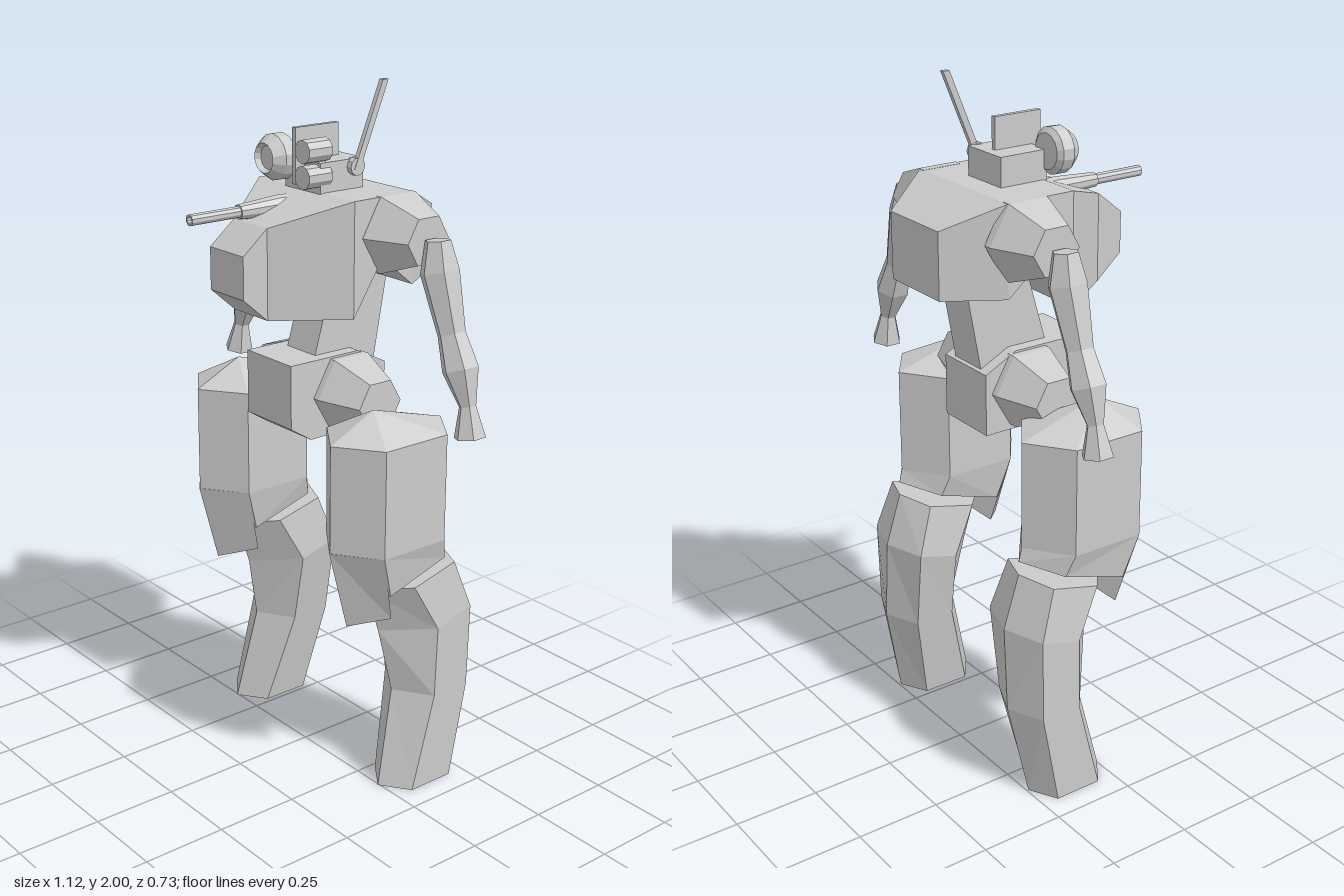
import * as THREE from 'three';

const material = new THREE.MeshStandardMaterial({ color: 0xcccccc, flatShading: true });

function part(name, geometry, x = 0, y = 0, z = 0) {
  const mesh = new THREE.Mesh(geometry, material);
  mesh.name = name;
  mesh.position.set(x, y, z);
  return mesh;
}

// Closed faceted solid through rings of [x, y, z] points; side = -1 mirrors it in x
function loft(rings, side = 1) {
  const R = rings.map(r => r.map(p => new THREE.Vector3(p[0] * side, p[1], p[2])));
  const n = R[0].length, last = R.length - 1, tris = [];
  const add = (a, b, c) => {
    const area = b.clone().sub(a).cross(c.clone().sub(a)).length();
    if (area > 1e-9) tris.push([a, b, c]);
  };
  for (let i = 0; i < last; i++) {
    for (let j = 0; j < n; j++) {
      const k = (j + 1) % n;
      add(R[i][j], R[i][k], R[i + 1][k]);
      add(R[i][j], R[i + 1][k], R[i + 1][j]);
    }
  }
  for (let j = 1; j < n - 1; j++) {
    add(R[0][0], R[0][j + 1], R[0][j]);
    add(R[last][0], R[last][j], R[last][j + 1]);
  }
  // The signed volume tells whether the faces point outwards
  const origin = R[0][0];
  const volume = tris.reduce((v, [a, b, c]) => v + a.clone().sub(origin)
    .dot(b.clone().sub(origin).cross(c.clone().sub(origin))), 0);
  const points = tris.flatMap(([a, b, c]) => (volume < 0 ? [a, c, b] : [a, b, c]));
  const geometry = new THREE.BufferGeometry().setFromPoints(points);
  geometry.computeVertexNormals();
  return geometry;
}

// Six-sided leg section: centre x, half width, then [z, y] of front, side front, side back, back
const legRing = (cx, w, [f, sf, sb, b]) => [
  [cx, f[1], f[0]], [cx + w, sf[1], sf[0]], [cx + w, sb[1], sb[0]],
  [cx, b[1], b[0]], [cx - w, sb[1], sb[0]], [cx - w, sf[1], sf[0]],
];
const level = (y, zs) => zs.map(z => [z, y]);

// Hexagon about the x axis, corners pointing to front and back
const hexX = (x, y, z, r) => Array.from({ length: 6 }, (_, i) => {
  const a = i * Math.PI / 3;
  return [x, y + r * Math.sin(a), z + r * Math.cos(a)];
});

// Hexagonal arm sections square to a path of [x, y, radius]
function armRings(path, z) {
  return path.map(([x, y, r], i) => {
    const p = path[Math.max(i - 1, 0)], q = path[Math.min(i + 1, path.length - 1)];
    const len = Math.hypot(q[0] - p[0], q[1] - p[1]);
    const ux = -(q[1] - p[1]) / len, uy = (q[0] - p[0]) / len;
    return Array.from({ length: 6 }, (_, k) => {
      const a = k * Math.PI / 3, s = r * Math.sin(a);
      return [x + ux * s, y + uy * s, z + r * Math.cos(a)];
    });
  });
}

// Lathe of [radius, z] points turned about the z axis
function turnedZ(points, sides) {
  const g = new THREE.LatheGeometry(points.map(([r, z]) => new THREE.Vector2(r, z)), sides);
  return g.rotateX(Math.PI / 2);
}

function createBody() {
  const body = new THREE.Group();
  body.name = 'body';
  // Torso sections from back to front: z, half width, top, bottom
  const torso = [
    [-0.365, 0.115, 1.64, 1.45], [-0.21, 0.21, 1.71, 1.45], [-0.1, 0.21, 1.71, 1.54],
    [0, 0.21, 1.71, 1.385], [0.19, 0.075, 1.64, 1.385], [0.27, 0.075, 1.575, 1.455],
  ].map(([z, w, t, b]) => [[-w, b, z], [w, b, z], [w, t, z], [-w, t, z]]);
  body.add(part('torso', loft(torso)));

  // Leaning waist column
  const waist = [[1.2, 0.03, -0.2], [1.58, -0.08, -0.27]].map(([y, f, b]) =>
    [[-0.0625, y, f], [0.0625, y, f], [0.0625, y, b], [-0.0625, y, b]]);
  body.add(part('waist', loft(waist)));

  // Pelvis block with cut lower front and upper back edges
  const outline = [[0.13, 1.25], [0.13, 1.065], [0.06, 1.02], [-0.21, 1.02], [-0.21, 1.2], [-0.11, 1.25]];
  body.add(part('pelvis', loft([-0.1, 0.1].map(x => outline.map(([z, y]) => [x, y, z])))));
  return body;
}

function createHead() {
  const head = new THREE.Group();
  head.name = 'head';
  head.add(part('headBlock', new THREE.BoxGeometry(0.154, 0.085, 0.15), 0, 1.75, -0.065));
  head.add(part('fin', new THREE.BoxGeometry(0.015, 0.155, 0.15), 0, 1.805, -0.035));

  // Large dished sensor and two small lenses
  const dish = [[0, 0], [0.05, 0], [0.065, 0.012], [0.065, 0.047], [0.042, 0.077], [0.033, 0.062], [0, 0.062]];
  head.add(part('largeSensor', turnedZ(dish, 14), -0.087, 1.79, 0));
  for (const y of [1.825, 1.755]) {
    const lens = [[0, -0.025], [0.033, -0.025], [0.033, 0.055], [0, 0.055]];
    head.add(part('smallSensor', turnedZ(lens, 10), 0.055, y, 0));
  }

  // Gun: tapered sleeve and thin hollow-tipped barrel
  const gun = [[0, -0.02], [0.026, -0.02], [0.03, 0.07], [0.021, 0.205], [0.016, 0.205],
    [0.016, 0.365], [0.01, 0.365], [0.01, 0.34], [0, 0.34]];
  head.add(part('gun', turnedZ(gun, 10), -0.033, 1.668, 0));

  // Raked antenna on a round hub
  const hub = new THREE.CylinderGeometry(0.025, 0.025, 0.025, 10).rotateZ(Math.PI / 2);
  head.add(part('antennaHub', hub, 0.082, 1.772, -0.108));
  const rod = [[1.765, -0.105], [2, -0.202]].map(([y, z]) =>
    [[0.081, y, z + 0.01], [0.096, y, z + 0.01], [0.096, y, z - 0.01], [0.081, y, z - 0.01]]);
  head.add(part('antenna', loft(rod)));
  return head;
}

function createLimbs(side) {
  const limbs = new THREE.Group();
  limbs.name = side > 0 ? 'leftLimbs' : 'rightLimbs';
  const add = (name, rings) => limbs.add(part(name, loft(rings, side)));

  // Tapered six-sided joints
  add('shoulder', [hexX(0.19, 1.605, -0.15, 0.122), hexX(0.215, 1.605, -0.15, 0.122), hexX(0.338, 1.605, -0.15, 0.073)]);
  add('hip', [hexX(0.09, 1.14, -0.07, 0.12), hexX(0.12, 1.14, -0.07, 0.12), hexX(0.245, 1.135, -0.07, 0.075)]);

  // Arm swelling at biceps, forearm and hand
  add('arm', armRings([[0.375, 1.615, 0.036], [0.385, 1.53, 0.056], [0.438, 1.37, 0.04],
    [0.476, 1.28, 0.052], [0.508, 1.185, 0.024], [0.521, 1.1, 0.045]], -0.15));

  // Thigh with a pointed roof and slanted underside
  const thighZ = [0.16, 0.07, -0.15, -0.24];
  add('thigh', [
    legRing(0.308, 0, level(1.155, [0.01, 0.01, 0.01, 0.01])),
    legRing(0.308, 0.126, level(1.083, thighZ)),
    legRing(0.308, 0.126, level(0.77, thighZ)),
    legRing(0.308, 0.108, [[0.09, 0.625], [0.03, 0.643], [-0.17, 0.705], [-0.25, 0.73]]),
  ]);

  // Wedge-shaped knee guard
  add('kneeGuard', [
    [[0.308, 0.77, 0.162], [0.434, 0.77, 0.07], [0.182, 0.77, 0.07]],
    [[0.308, 0.53, 0.098], [0.403, 0.565, 0.015], [0.213, 0.565, 0.015]],
  ]);

  // Lower leg bending back, narrowing outwards to the foot
  add('lowerLeg', [
    legRing(0.308, 0.108, [[0.025, 0.62], [-0.06, 0.642], [-0.21, 0.68], [-0.25, 0.69]]),
    legRing(0.308, 0.127, [[-0.02, 0.48], [-0.135, 0.5], [-0.26, 0.535], [-0.3, 0.535]]),
    legRing(0.325, 0.108, level(0.285, [-0.06, -0.13, -0.255, -0.302])),
    legRing(0.347, 0.083, level(0, [0.005, -0.055, -0.2, -0.245])),
  ]);
  return limbs;
}

export function createModel() {
  const model = new THREE.Group();
  model.name = 'walkerRobot';
  model.add(createBody(), createHead(), createLimbs(1), createLimbs(-1));
  return model;
}
